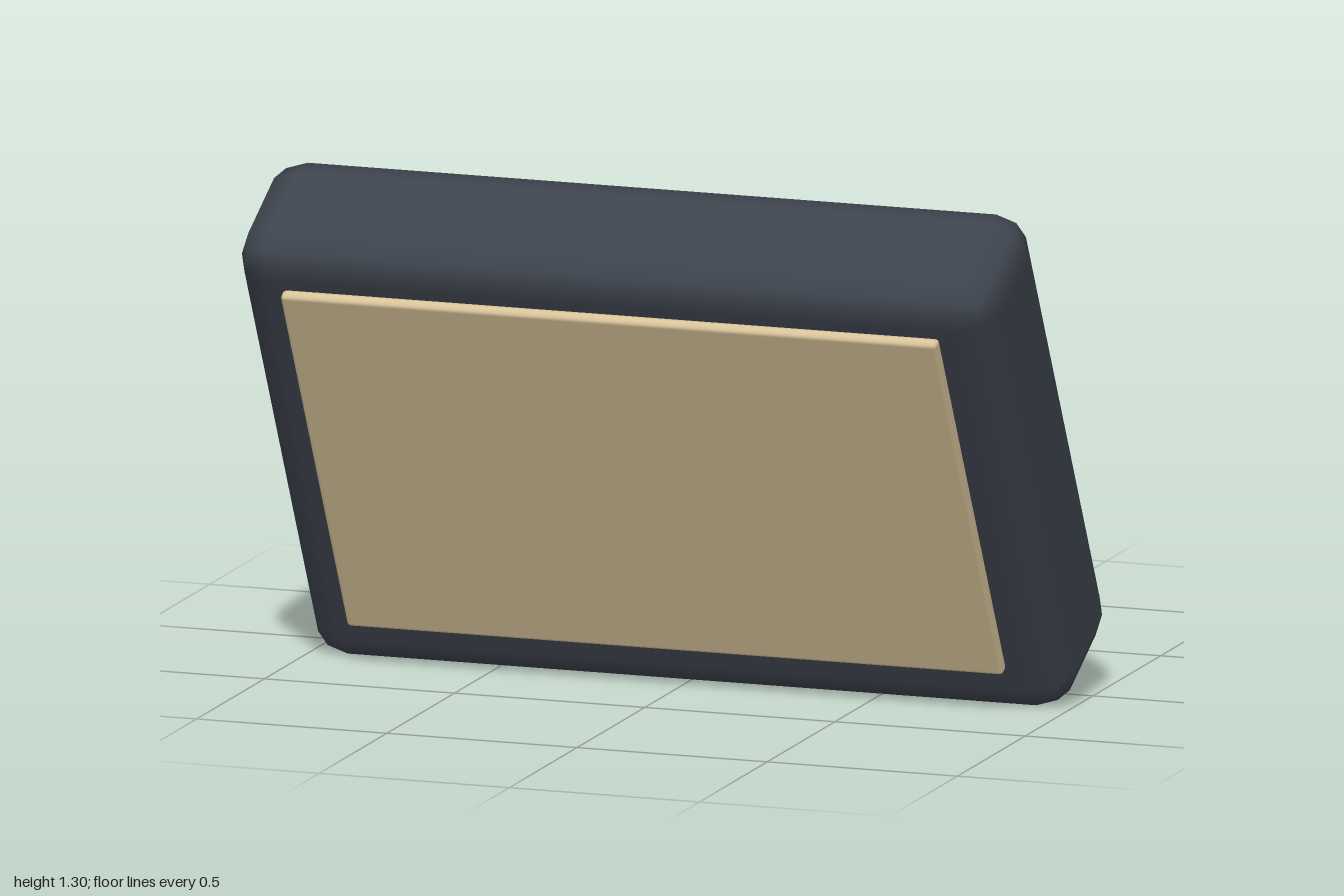
import * as THREE from 'three';

// Box with two-step smooth bevels: the grid is snapped to core corners plus a bevel offset
function bevelledBox(w, h, d, r) {
  const geo = new THREE.BoxGeometry(2, 2, 2, 3, 3, 3);
  const half = [w / 2 - r, h / 2 - r, d / 2 - r];
  const pos = geo.attributes.position;
  const nor = geo.attributes.normal;
  for (let i = 0; i < pos.count; i++) {
    const c = [pos.getX(i), pos.getY(i), pos.getZ(i)];
    const dir = new THREE.Vector3(...c.map((v) => (Math.abs(v) > 0.5 ? Math.sign(v) : 0))).normalize();
    const core = new THREE.Vector3(...c.map((v, k) => Math.sign(v) * half[k]));
    nor.setXYZ(i, dir.x, dir.y, dir.z);
    core.addScaledVector(dir, r);
    pos.setXYZ(i, core.x, core.y, core.z);
  }
  return geo;
}

export function createModel() {
  const housing = new THREE.MeshStandardMaterial({ name: 'dark slate', color: 0x3d434d });
  const lens = new THREE.MeshStandardMaterial({ name: 'warm beige', color: 0xd6c298 });

  const model = new THREE.Group();
  model.name = 'wallFloodlight';
  const add = (parent, name, geo, mat, x, y, z) => {
    const mesh = new THREE.Mesh(geo, mat);
    mesh.name = name;
    mesh.position.set(x, y, z);
    parent.add(mesh);
    return mesh;
  };

  // Lamp head, tilted to shine downwards, with its light panel just off the face
  const head = new THREE.Group();
  head.name = 'lampHead';
  head.position.set(0, 0.654, 0.299);
  head.rotation.x = THREE.MathUtils.degToRad(28);
  add(head, 'headHousing', bevelledBox(2, 1.346, 0.406, 0.095), housing, 0, 0, 0);
  add(head, 'lightPanel', bevelledBox(1.726, 1.062, 0.034, 0.011), lens, 0, 0.03, 0.225);
  model.add(head);

  // Wall plate
  add(model, 'wallPlate', bevelledBox(0.666, 0.934, 0.157, 0.042), housing, 0, 0.523, -0.692);

  // Arm rising from the wall plate towards the head
  const start = new THREE.Vector3(0, 0.51, -0.69);
  const end = new THREE.Vector3(0, 0.655, -0.105);
  const mid = start.clone().lerp(end, 0.5);
  const arm = add(
    model, 'mountingArm',
    new THREE.CylinderGeometry(0.104, 0.104, start.distanceTo(end), 10, 1, false, Math.PI / 2),
    housing, mid.x, mid.y, mid.z
  );
  arm.quaternion.setFromUnitVectors(new THREE.Vector3(0, 1, 0), end.clone().sub(start).normalize());

  return model;
}
